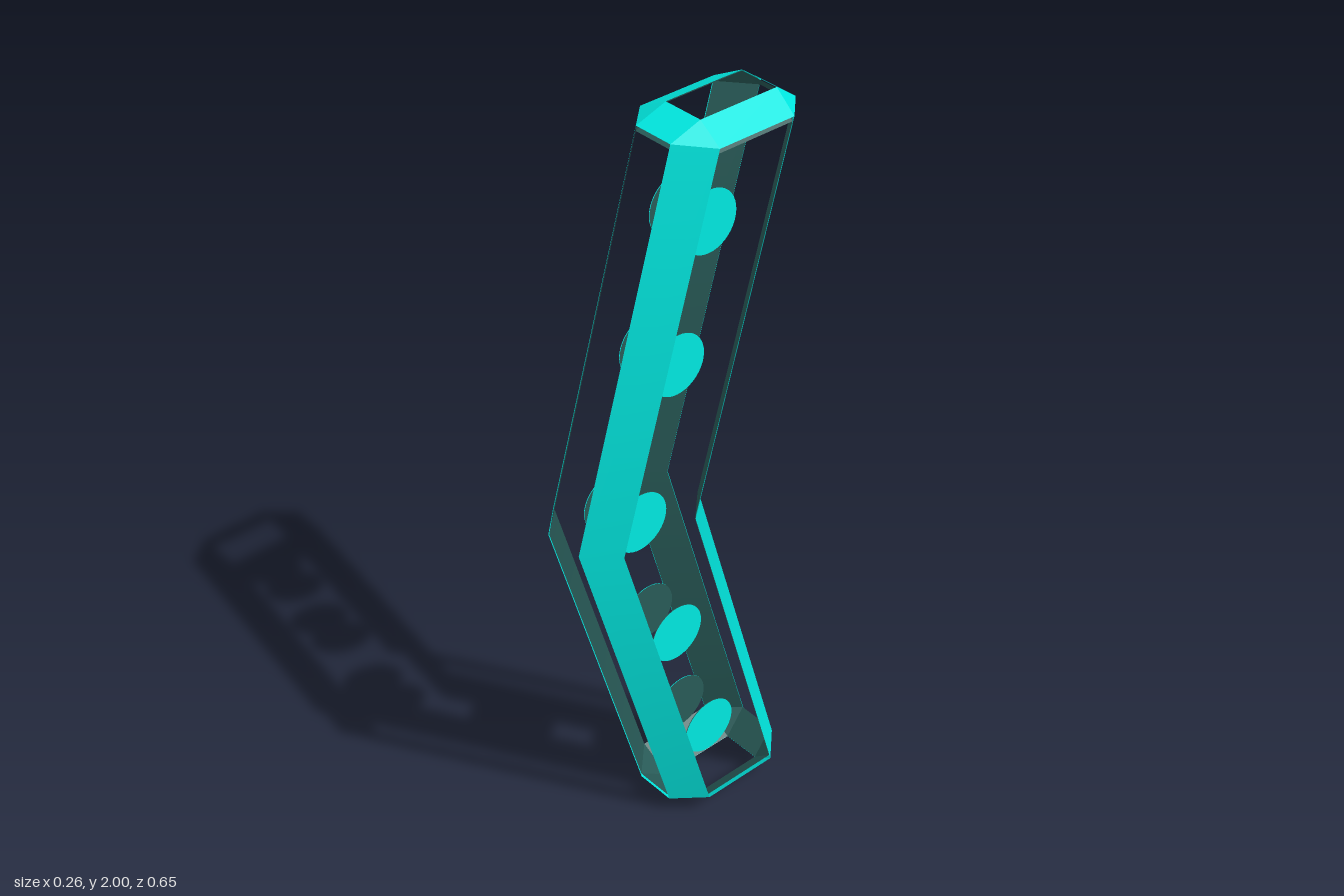
import * as THREE from 'three';
import { mergeVertices } from 'three/addons/utils/BufferGeometryUtils.js';

const IN = 0.055;    // half width of the front, back, top and bottom openings
const OUT = 0.128;   // half width at the side openings
const WALL = 0.002;  // thickness between the outer skin and the lining
const SLOPE = 0.29;  // how far the frame moves forward per unit of height

// Key corners (+x half) of the bent frame at one level:
// F/B = front/back opening edge, SF/SB = side opening edge.
// t moves them inwards, dy slides them along the sloping frame
const level = ([f, fy, sf, sb, sy, b, by], t, dy) => {
  const dz = Math.abs(dy) * SLOPE;
  return {
    F: [IN - t / 2, fy + dy, f - t + dz], SF: [OUT - t, sy + dy, sf + dz],
    SB: [OUT - t, sy + dy, sb + dz], B: [IN - t / 2, by + dy, b + t + dz],
  };
};
const BOTTOM = [0.047, 0.05, -0.028, -0.247, 0.06, -0.322, 0.063];
const MIDDLE = [0.325, 1.01, 0.25, 0.03, 1.01, -0.045, 1.01];
const TOP = [0.045, 1.972, -0.03, -0.247, 1.964, -0.322, 1.958];

const mirror = ([x, y, z]) => [-x, y, z];
const reverse = (f) => [f[0], ...f.slice(1).reverse()];
const mirrorFace = (f) => reverse(f.map(mirror));

// Geometry from convex faces, each fanned into triangles
function faces(list, smooth) {
  const pos = [];
  for (const f of list)
    for (let i = 1; i < f.length - 1; i++) pos.push(...f[0], ...f[i], ...f[i + 1]);
  let g = new THREE.BufferGeometry();
  g.setAttribute('position', new THREE.Float32BufferAttribute(pos, 3));
  if (smooth) g = mergeVertices(g);
  g.computeVertexNormals();
  return g;
}

// Open sheets show from both sides
function material(name, color) {
  const m = new THREE.MeshStandardMaterial({ color, side: THREE.DoubleSide });
  m.name = name;
  return m;
}

// One complete skin: outer faces outwards, the lining faces inwards
function buildSkin(name, mat, lining) {
  const skin = new THREE.Group();
  skin.name = name;
  const add = (part, geometry) => {
    const mesh = new THREE.Mesh(geometry, mat);
    mesh.name = part;
    skin.add(mesh);
    return mesh;
  };
  const orient = (list, inwards) => (inwards ? list.map(reverse) : list);
  const t = lining ? WALL : 0;
  const drop = lining ? 0.012 : 0;
  const bottom = level(BOTTOM, t, drop);
  const middle = level(MIDDLE, t, 0);
  const top = level(TOP, t, -drop);

  // Four bent corner strips, each a lower and an upper half
  const strip = (p, q) => [
    [bottom[q], middle[q], middle[p], bottom[p]],
    [middle[p], middle[q], top[q], top[p]],
  ];
  for (const [part, list] of [['FrontStrip', strip('F', 'SF')], ['BackStrip', strip('SB', 'B')]]) {
    add('left' + part, faces(orient(list, lining), true));
    add('right' + part, faces(orient(list.map(mirrorFace), lining), true));
  }

  // Sloping rims around the open top and bottom
  for (const [part, l, y, flip] of [['topRim', top, 2 - t, false], ['bottomRim', bottom, t, true]]) {
    const x = IN - t / 2;
    const TF = [x, y, -0.04 - t / 2], TB = [x, y, -0.263 + t / 2];
    const side = [[l.SF, l.SB, TB, TF], [l.F, l.SF, TF], [l.SB, l.B, TB]];
    const list = [
      ...side, ...side.map(mirrorFace),
      [mirror(l.F), l.F, TF, mirror(TF)],
      [l.B, mirror(l.B), mirror(TB), TB],
    ];
    add(part, faces(orient(list, flip !== lining), false));
  }

  // Five round discs on each side: height, depth, and the right side's shift
  const discs = [[1.74, -0.07, -0.004], [1.403, 0.022, 0], [1.012, 0.137, 0], [0.606, 0.022, 0], [0.226, -0.09, 0.008]];
  const circle = new THREE.CircleGeometry(0.08, 40);
  for (const s of [1, -1])
    discs.forEach(([y, z, shift], i) => {
      const disc = add(`${s > 0 ? 'left' : 'right'}Disc${i + 1}`, circle);
      disc.rotation.y = (lining ? -s : s) * Math.PI / 2;
      disc.position.set(s * (0.055 - t), s > 0 ? y : y + shift, z);
    });
  return skin;
}

export function createModel() {
  const model = new THREE.Group();
  model.add(
    buildSkin('outerSkin', material('teal', 0x00e8e0), false),
    buildSkin('innerLining', material('darkTeal', 0x285a57), true),
  );
  return model;
}
